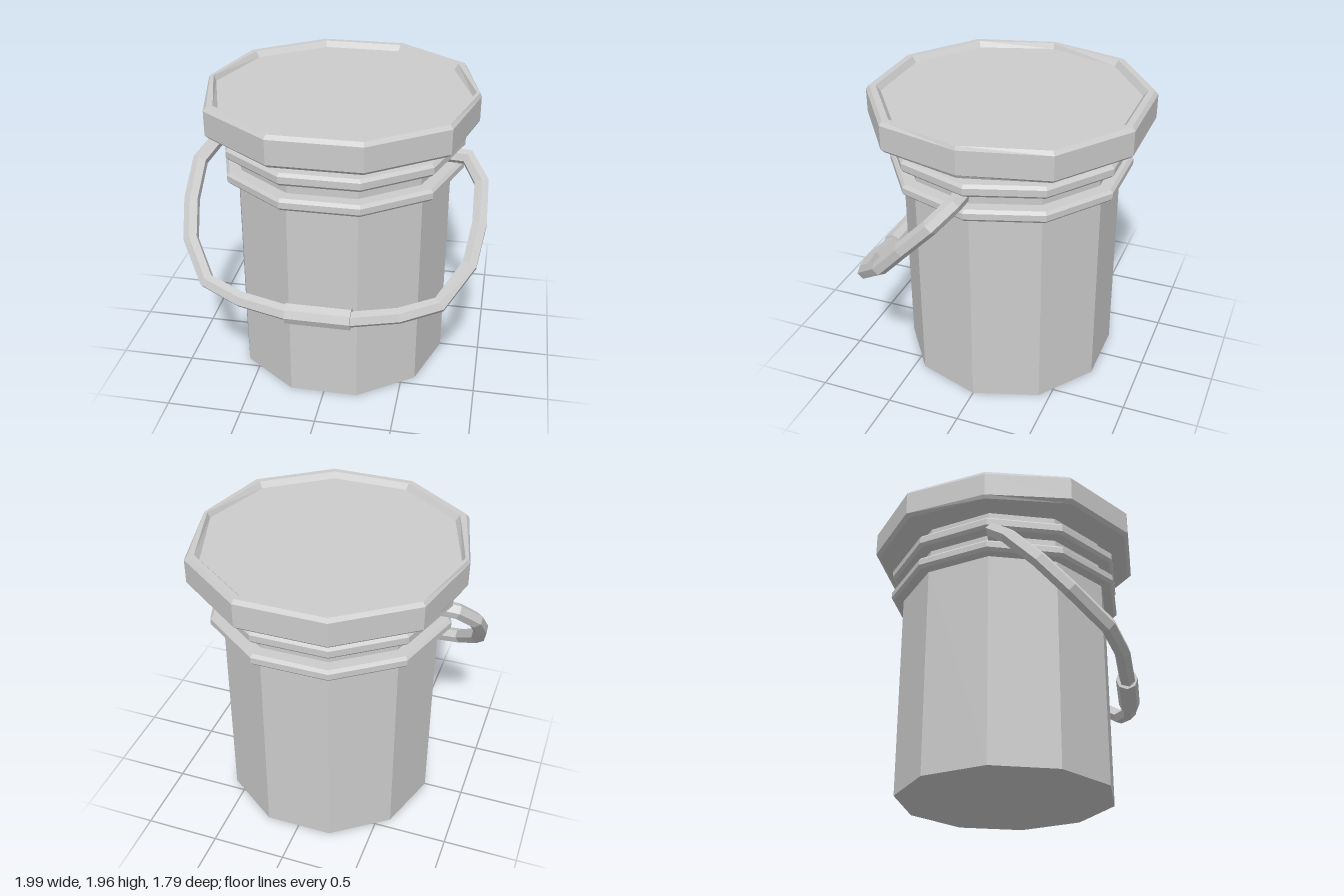
import * as THREE from 'three';

const material = new THREE.MeshStandardMaterial({ color: 0xcccccc, flatShading: true });

function addMesh(group, name, geometry) {
  const mesh = new THREE.Mesh(geometry, material);
  mesh.name = name;
  group.add(mesh);
  return mesh;
}

// Ten-sided turned part with corners on the x axis; profile is [radius, y] going up
function turned(profile) {
  const points = profile.map(([r, y]) => new THREE.Vector2(r, y));
  return new THREE.LatheGeometry(points, 10, Math.PI / 2);
}

// Six-sided bar swept along a path, mitred at each bend
function sweptBar(path, radius, normal) {
  const sides = 6, positions = [], index = [];
  path.forEach((p, i) => {
    const before = path[Math.max(i - 1, 0)], after = path[Math.min(i + 1, path.length - 1)];
    const dirIn = p.clone().sub(before).normalize(), dirOut = after.clone().sub(p).normalize();
    const tangent = dirIn.clone().add(dirOut).normalize();
    const across = normal.clone().cross(tangent).normalize();
    const up = tangent.clone().cross(across);
    for (let k = 0; k < sides; k++) {
      const a = (k / sides) * Math.PI * 2;
      const v = p.clone().addScaledVector(up, Math.cos(a) * radius).addScaledVector(across, Math.sin(a) * radius);
      positions.push(v.x, v.y, v.z);
    }
  });
  for (let i = 0; i < path.length - 1; i++) {
    for (let k = 0; k < sides; k++) {
      const a = i * sides + k, b = i * sides + (k + 1) % sides;
      index.push(a, a + sides, b, b, a + sides, b + sides);
    }
  }
  // End caps
  const last = (path.length - 1) * sides;
  for (let k = 1; k < sides - 1; k++) {
    index.push(0, k, k + 1, last, last + k + 1, last + k);
  }
  const geometry = new THREE.BufferGeometry();
  geometry.setAttribute('position', new THREE.Float32BufferAttribute(positions, 3));
  geometry.setIndex(index);
  geometry.computeVertexNormals();
  // Turn the faces outward whichever way the path runs
  const n = geometry.attributes.normal, c = path[1];
  const j = sides;
  const out = new THREE.Vector3(positions[j * 3], positions[j * 3 + 1], positions[j * 3 + 2]).sub(c);
  if (out.dot(new THREE.Vector3().fromBufferAttribute(n, j)) < 0) {
    geometry.setIndex(index.slice().reverse());
    geometry.computeVertexNormals();
  }
  return geometry;
}

export function createModel() {
  const group = new THREE.Group();

  // Body with a slightly narrower neck
  addMesh(group, 'body', turned([[0, 0], [0.728, 0], [0.728, 1.44], [0.714, 1.46], [0.714, 1.78], [0, 1.78]]));

  // Two bevelled bands around the neck
  [['lowerBand', 1.415, 1.495], ['upperBand', 1.583, 1.667]].forEach(([name, y0, y1]) => {
    addMesh(group, name, turned([
      [0.69, y0], [0.793, y0], [0.813, y0 + 0.02], [0.813, y1 - 0.02], [0.793, y1], [0.69, y1],
    ]));
  });

  // Lid with bevelled edges and a shallow recessed top
  const lid = turned([
    [0, 1.755], [0.915, 1.755], [0.94, 1.778], [0.94, 1.938],
    [0.918, 1.963], [0.875, 1.963], [0.845, 1.925], [0, 1.925],
  ]);
  // The two side corners are pulled in a little
  const pos = lid.attributes.position;
  for (let i = 0; i < pos.count; i++) {
    const x = pos.getX(i);
    if (Math.abs(pos.getZ(i)) < 0.01 && Math.abs(x) > 0.85) {
      pos.setX(i, Math.sign(x) * (0.85 + (Math.abs(x) - 0.85) * 0.5));
    }
  }
  addMesh(group, 'lid', lid);

  // Swinging handle: half path mirrored across x
  const half = [
    [0.66, 1.545, 0.04], [0.837, 1.535, 0.05], [0.939, 1.417, 0.16], [0.95, 1.22, 0.355],
    [0.912, 1.02, 0.54], [0.751, 0.84, 0.745], [0.51, 0.773, 0.815], [0.206, 0.716, 0.83],
  ];
  const path = [
    ...half.map(([x, y, z]) => new THREE.Vector3(-x, y, z)),
    ...half.slice().reverse().map(([x, y, z]) => new THREE.Vector3(x, y, z)),
  ];
  addMesh(group, 'handle', sweptBar(path, 0.053, new THREE.Vector3(0, 0.7, 0.72).normalize()));

  // Grip at the middle of the handle
  const grip = addMesh(group, 'handleGrip', new THREE.CylinderGeometry(0.071, 0.071, 0.42, 8));
  grip.rotation.z = Math.PI / 2;
  grip.position.set(0, 0.717, 0.828);

  return group;
}
